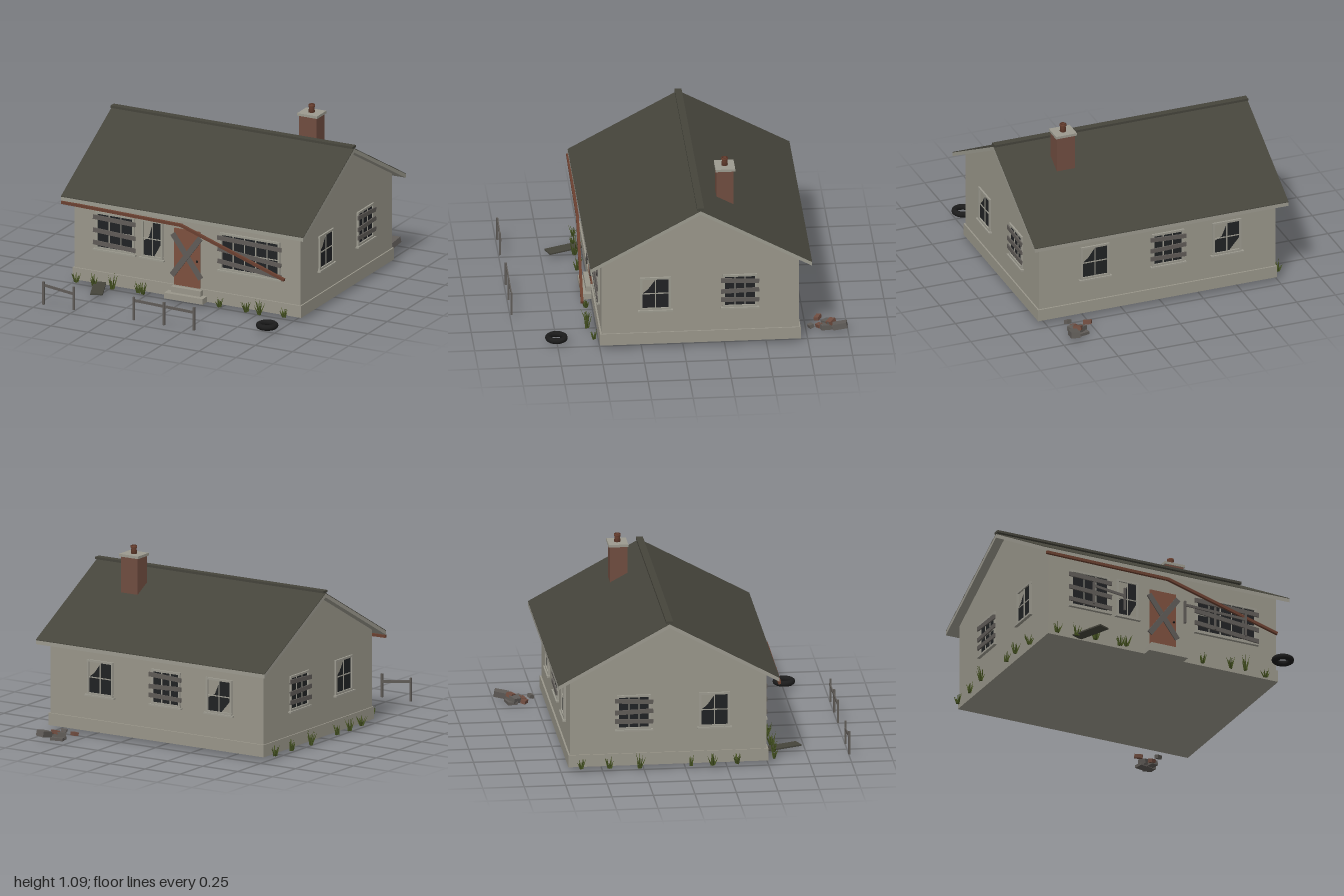
import * as THREE from 'three';
import { mergeGeometries } from 'three/addons/utils/BufferGeometryUtils.js';

const mat = (name, color) => {
  const m = new THREE.MeshStandardMaterial({ color });
  m.name = name;
  return m;
};
const M = {
  wall: mat('weathered render', 0x99968a),
  trim: mat('pale trim', 0x9c9a8f),
  roof: mat('dark shingle', 0x45443b),
  glass: mat('dark glass', 0x202224),
  wood: mat('grey board', 0x5f5b57),
  brick: mat('brick', 0x704d40),
  door: mat('door brown', 0x7d503e),
  rust: mat('rust', 0x6a4030),
  rubber: mat('rubber', 0x1b1b1b),
  grass: mat('dry grass', 0x435020),
};
const CX = 0.028, GROUND = 0.027;

function add(parent, name, geo, material) {
  const mesh = new THREE.Mesh(geo, material);
  mesh.name = name;
  parent.add(mesh);
  return mesh;
}
function box(parent, name, material, w, h, d, x, y, z, rx = 0, ry = 0, rz = 0) {
  const mesh = add(parent, name, new THREE.BoxGeometry(w, h, d), material);
  mesh.position.set(x, y, z);
  mesh.rotation.set(rx, ry, rz);
  return mesh;
}
// Bar between two points
function bar(parent, name, material, a, b, h, d) {
  const p = new THREE.Vector3(...a), q = new THREE.Vector3(...b);
  const mesh = add(parent, name, new THREE.BoxGeometry(p.distanceTo(q), h, d), material);
  mesh.position.copy(p).add(q).multiplyScalar(0.5);
  mesh.quaternion.setFromUnitVectors(new THREE.Vector3(1, 0, 0), q.sub(p).normalize());
  return mesh;
}
// Side profile of [z, y] points swept along x
function sweep(points, x0, x1) {
  const shape = new THREE.Shape(points.map(([z, y]) => new THREE.Vector2(-z, y)));
  const geo = new THREE.ExtrudeGeometry(shape, { depth: x1 - x0, bevelEnabled: false });
  return geo.rotateY(Math.PI / 2).translate(x0, 0, 0);
}

// Outlines of cracked panes, in half widths and half heights
const SHARD_A = [[0.05, 1], [1, 1], [1, -0.2], [0.2, -1], [-0.95, -1], [-0.95, -0.15], [-0.4, 0.1]];
const SHARD_B = [[-1, -1], [1, -1], [1, 1], [0.05, 1], [-0.55, 0.3], [-1, 0]];

// Window facing +z with its centre at the origin; boards are [y, tilt]
function windowUnit(name, w, h, cols, shard, boards = []) {
  const g = new THREE.Group();
  g.name = name;
  const pts = shard || [[-1, -1], [1, -1], [1, 1], [-1, 1]];
  const pane = new THREE.Shape(pts.map(([x, y]) => new THREE.Vector2(x * w / 2, y * h / 2)));
  add(g, 'glass', new THREE.ShapeGeometry(pane), M.glass).position.z = 0.002;
  for (const s of [-1, 1]) {
    box(g, 'frameSide', M.trim, 0.013, h + 0.026, 0.012, s * (w / 2 + 0.006), 0, 0.005);
    box(g, 'frameRail', M.trim, w + 0.026, 0.013, 0.012, 0, s * (h / 2 + 0.006), 0.005);
  }
  box(g, 'sill', M.trim, w + 0.05, 0.01, 0.022, 0, -h / 2 - 0.017, 0.009);
  for (let i = 1; i < cols; i++) {
    box(g, 'glazingBar', M.trim, 0.006, h, 0.006, (i / cols - 0.5) * w, 0, 0.003);
  }
  box(g, 'glazingBar', M.trim, w, 0.006, 0.006, 0, 0, 0.003);
  for (const [y, tilt] of boards) {
    box(g, 'board', M.wood, w + 0.05, 0.027, 0.008, 0, y, 0.015, 0, 0, tilt);
  }
  return g;
}

function grassTuft(x, z, size, seed) {
  const blades = [];
  const rnd = () => (seed = (seed * 16807) % 2147483647) / 2147483647;
  for (let i = 0; i < 11; i++) {
    const h = size * (0.55 + 0.5 * rnd());
    const blade = new THREE.ConeGeometry(0.006, h, 3).translate(0, h / 2, 0);
    blade.rotateZ(0.08 + 0.42 * rnd()).translate(-0.01 * rnd(), 0, 0);
    blades.push(blade.rotateY(i * 2.4 + rnd()).toNonIndexed());
  }
  const geo = mergeGeometries(blades);
  geo.computeVertexNormals();
  return geo.translate(x, GROUND, z);
}

export function createModel() {
  const house = new THREE.Group();
  house.name = 'abandonedHouse';

  // Walls and plinth
  const walls = [[0.49, 0.03], [0.49, 0.575], [-0.1, 0.9], [-0.695, 0.575], [-0.695, 0.03]];
  add(house, 'walls', sweep(walls, -0.735, 0.79), M.wall);
  box(house, 'plinth', M.wall, 1.541, 0.075, 1.205, CX, GROUND + 0.0375, -0.1025);

  // Roof: pale slab, dark covering and ridge cap
  const top = (z) => 0.922 - 0.547 * Math.abs(z + 0.1);
  const F = 0.562, B = -0.77;
  const band = (lo, hi) => [
    [F, top(F) + lo], [F, top(F) + hi], [-0.1, 0.922 + hi],
    [B, top(B) + hi], [B, top(B) + lo], [-0.1, 0.922 + lo],
  ];
  add(house, 'roofSlab', sweep(band(-0.024, 0), -0.79, 0.845), M.trim);
  add(house, 'roofCovering', sweep(band(0, 0.004), -0.79, 0.845), M.roof);
  box(house, 'ridgeCap', M.roof, 1.635, 0.014, 0.042, CX, 0.933, -0.1);

  // Chimney
  box(house, 'chimneyStack', M.brick, 0.118, 0.25, 0.104, 0.467, 0.905, -0.273);
  box(house, 'chimneyCap', M.trim, 0.135, 0.016, 0.118, 0.467, 1.033, -0.275);
  const pot = [[0, 1.04], [0.02, 1.04], [0.016, 1.075], [0.02, 1.075], [0.02, 1.09], [0.012, 1.09], [0.012, 1.05], [0, 1.05]];
  add(house, 'chimneyPot', new THREE.LatheGeometry(pot.map((p) => new THREE.Vector2(...p)), 10), M.rust)
    .position.set(0.467, 0, -0.275);

  // Windows on each wall: [name, x, y, z, turn, w, h, columns, shard, boards]
  const three = [[0.07, -0.05], [0.005, 0.03], [-0.055, -0.03]];
  const windows = [
    ['frontRightWindow', -0.46, 0.363, 0.49, 0, 0.235, 0.21, 3, null, [[0.08, -0.03], [-0.005, -0.05], [-0.082, -0.04]]],
    ['frontNarrowWindow', -0.208, 0.363, 0.49, 0, 0.118, 0.215, 2, SHARD_A],
    ['frontLeftWindow', 0.452, 0.363, 0.49, 0, 0.38, 0.21, 5, null, [[0.08, -0.03], [-0.005, -0.1], [-0.08, -0.09]]],
    ['backLeftWindow', 0.43, 0.36, -0.695, 2, 0.16, 0.19, 2, SHARD_B],
    ['backMiddleWindow', -0.04, 0.36, -0.695, 2, 0.18, 0.19, 3, null, three],
    ['backRightWindow', -0.42, 0.36, -0.695, 2, 0.16, 0.19, 2, SHARD_A],
    ['leftFrontWindow', 0.79, 0.36, 0.168, 1, 0.16, 0.19, 2, SHARD_B],
    ['leftBackWindow', 0.79, 0.36, -0.34, 1, 0.18, 0.19, 3, null, three],
    ['rightFrontWindow', -0.735, 0.36, 0.175, 3, 0.16, 0.19, 2, SHARD_B],
    ['rightBackWindow', -0.735, 0.36, -0.31, 3, 0.18, 0.19, 3, null, three],
  ];
  for (const [name, x, y, z, turn, ...rest] of windows) {
    const unit = windowUnit(name, ...rest);
    unit.position.set(x, y, z);
    unit.rotation.y = turn * Math.PI / 2;
    house.add(unit);
  }

  // Boarded door and steps
  box(house, 'door', M.door, 0.175, 0.36, 0.014, 0.028, 0.28, 0.492);
  add(house, 'doorKnob', new THREE.SphereGeometry(0.007, 10, 8), M.rubber).position.set(0.098, 0.273, 0.504);
  for (const s of [-1, 1]) {
    bar(house, 'doorBoard', M.wood, [0.028 - s * 0.095, 0.165, 0.506 + s * 0.004], [0.028 + s * 0.095, 0.425, 0.506 + s * 0.004], 0.035, 0.008);
  }
  box(house, 'upperStep', M.wall, 0.2, 0.036, 0.06, 0.035, 0.08, 0.5);
  box(house, 'lowerStep', M.wall, 0.26, 0.036, 0.1, 0.035, 0.045, 0.51);

  // Gutter with its fallen end
  bar(house, 'gutter', M.rust, [-0.785, 0.527, 0.563], [0.03, 0.513, 0.572], 0.017, 0.017);
  bar(house, 'fallenGutter', M.rust, [0.025, 0.513, 0.572], [0.74, 0.29, 0.604], 0.017, 0.017);

  // Broken fences: post positions and rail heights
  for (const [posts, y0, y1] of [[[-0.683, -0.478], 0.15, 0.125], [[-0.073, 0.13, 0.333], 0.15, 0.138]]) {
    for (const x of posts) box(house, 'fencePost', M.wood, 0.012, 0.145, 0.012, x, 0.1, 0.994);
    bar(house, 'fenceRail', M.wood, [posts[0], y0, 0.99], [posts[posts.length - 1], y1, 0.99], 0.016, 0.007);
  }

  // Old tyre
  const tyre = add(house, 'tyre', new THREE.TorusGeometry(0.05, 0.018, 10, 28), M.rubber);
  tyre.rotation.x = Math.PI / 2;
  tyre.position.set(0.702, 0.045, 0.755);

  // Fallen roof panel
  box(house, 'fallenPanel', M.roof, 0.075, 0.009, 0.22, -0.513, 0.038, 0.61, 0, 0.38, 0);

  // Rubble behind the house
  const rubble = [
    [0.665, 0.04, -0.952, 0.055, 0.036, 0.085, 0.2, -0.12, 0.1, M.wood],
    [0.60, 0.03, -0.885, 0.075, 0.032, 0.05, 0.1, 0.6, 0.15, M.wood],
    [0.635, 0.02, -0.865, 0.05, 0.03, 0.06, -0.1, 0.3, 0.1, M.wood],
    [0.62, 0.045, -0.9, 0.04, 0.025, 0.05, 0.3, 0.9, 0, M.brick],
    [0.53, 0.032, -0.828, 0.05, 0.022, 0.03, 0.2, -0.5, 0, M.brick],
    [0.62, 0.022, -0.83, 0.04, 0.022, 0.03, 0.2, 0.5, 0.1, M.brick],
    [0.637, 0.03, -0.778, 0.035, 0.022, 0.028, 0.3, 0.4, 0, M.wood],
    [0.6, 0.009, -0.9, 0.08, 0.018, 0.06, 0, 0.2, 0, M.wood],
  ];
  for (const [x, y, z, w, h, d, rx, ry, rz, m] of rubble) box(house, 'rubble', m, w, h, d, x, y, z, rx, ry, rz);

  // Grass tufts along the front and right walls: [x, z, height]
  const tufts = [
    [-0.7, 0.54, 0.07], [-0.575, 0.55, 0.09], [-0.45, 0.55, 0.1], [-0.28, 0.54, 0.08], [-0.24, 0.55, 0.08],
    [0.27, 0.54, 0.065], [0.455, 0.55, 0.08], [0.55, 0.56, 0.1], [0.7, 0.53, 0.06],
    [-0.775, -0.63, 0.07], [-0.785, -0.46, 0.08], [-0.8, -0.28, 0.1],
    [-0.785, 0.03, 0.07], [-0.79, 0.16, 0.09], [-0.775, 0.31, 0.07],
  ];
  const grass = mergeGeometries(tufts.map(([x, z, h], i) => grassTuft(x, z, h, 1237 + i * 7919)));
  add(house, 'grass', grass, M.grass);

  return house;
}
